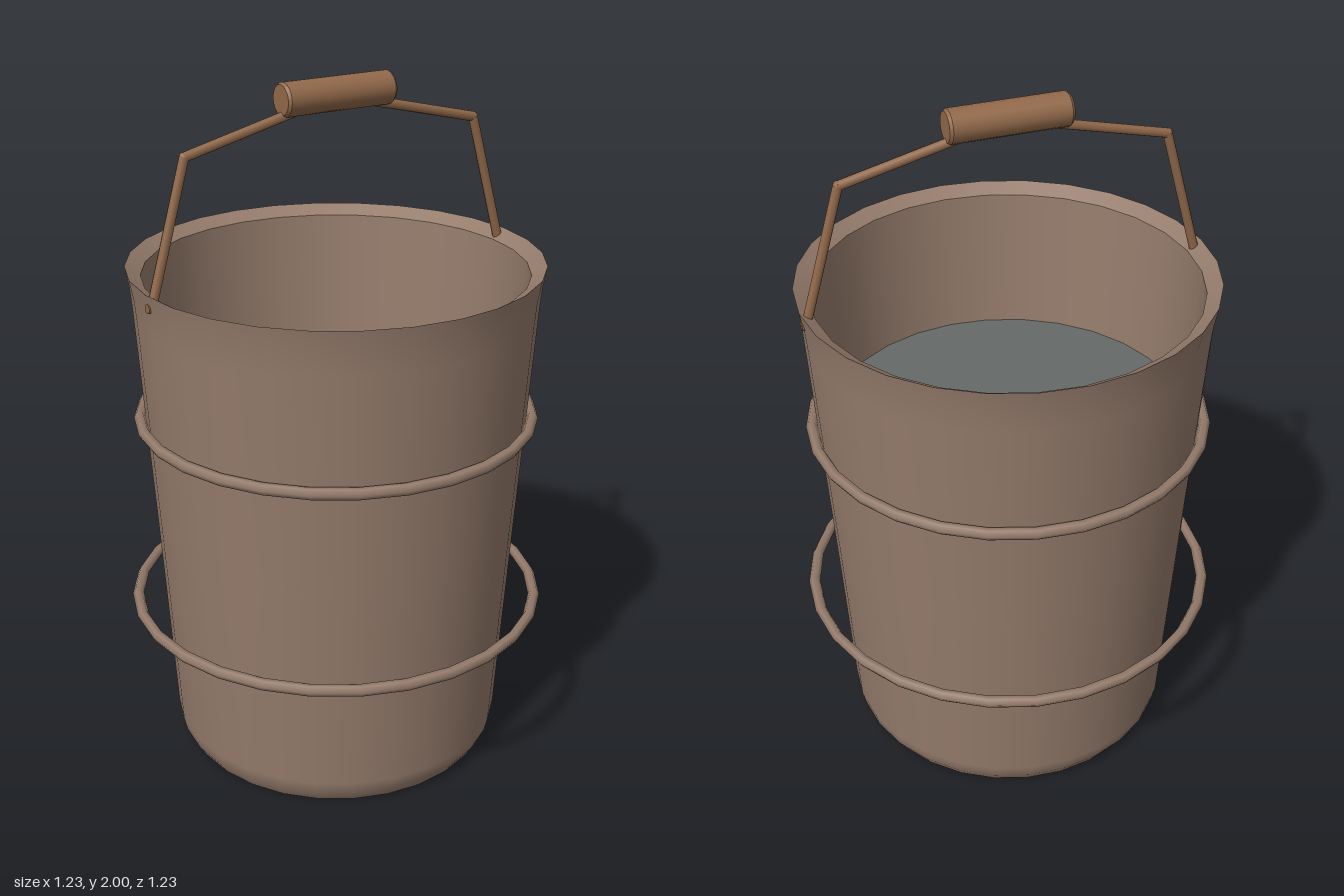
import * as THREE from 'three';

const SIDES = 28;

export function createModel() {
  const model = new THREE.Group();
  model.name = 'bucket';

  const paint = (name, color, options = {}) => {
    const m = new THREE.MeshStandardMaterial({ color, ...options });
    m.name = name;
    return m;
  };
  const staveBrown = paint('staveBrown', 0x957c6c);
  const handleWood = paint('handleWood', 0x92694a);
  const waterGrey = paint('waterGrey', 0x656b68);

  const add = (name, geometry, material, parent = model) => {
    const mesh = new THREE.Mesh(geometry, material);
    mesh.name = name;
    parent.add(mesh);
    return mesh;
  };
  const lathe = (points, sides = SIDES) =>
    new THREE.LatheGeometry(points.map(([r, y]) => new THREE.Vector2(r, y)), sides);

  // Tapered body: outside wall, inward-sloping rim, inside wall, underside
  add('outerWall', lathe([
    [0.46, 0], [0.482, 0.035], [0.491, 0.075], [0.53, 0.72],
    [0.571, 1.36], [0.577, 1.43], [0.588, 1.49],
  ]), staveBrown);
  add('rim', lathe([[0.588, 1.49], [0.545, 1.463]]), staveBrown);
  add('innerWall', lathe([[0.545, 1.463], [0.515, 1.02]]), staveBrown);
  add('base', lathe([[0, 0], [0.46, 0]]), staveBrown);

  // Water surface
  add('water', lathe([[0.516, 1.04], [0, 1.04]]), waterGrey);

  // Two hoops, the lower one standing loose of the wall
  for (const [name, radius, y] of [['upperHoop', 0.567, 1.036], ['lowerHoop', 0.599, 0.46]]) {
    const hoop = add(name, new THREE.TorusGeometry(radius, 0.017, 6, SIDES), staveBrown);
    hoop.rotation.x = Math.PI / 2;
    hoop.position.y = y;
  }

  // Bail: straight rods joined end to end, passing through the grip
  const handle = new THREE.Group();
  handle.name = 'handle';
  model.add(handle);
  const up = new THREE.Vector3(0, 1, 0);
  const rod = (name, a, b) => {
    const from = new THREE.Vector3(...a), to = new THREE.Vector3(...b);
    const dir = to.clone().sub(from);
    const mesh = add(name, new THREE.CylinderGeometry(0.014, 0.014, dir.length(), 8), handleWood, handle);
    mesh.position.copy(from).add(to).multiplyScalar(0.5);
    mesh.quaternion.setFromUnitVectors(up, dir.normalize());
  };
  for (const [label, s] of [['left', 1], ['right', -1]]) {
    rod(label + 'Upright', [s * 0.572, 1.445, 0], [s * 0.46, 1.838, 0]);
    rod(label + 'Arm', [s * 0.46, 1.838, 0], [s * 0.06, 1.934, 0]);
    const elbow = add(label + 'Elbow', new THREE.SphereGeometry(0.014, 8, 6), handleWood, handle);
    elbow.position.set(s * 0.46, 1.838, 0);
    rod(label + 'Peg', [s * 0.55, 1.45, 0], [s * 0.584, 1.45, 0]);
  }

  // Grip: cylinder with softened ends
  const grip = new THREE.Group();
  grip.name = 'grip';
  grip.position.y = 1.953;
  grip.rotation.z = -Math.PI / 2;
  handle.add(grip);
  add('gripBarrel', lathe([[0.047, -0.163], [0.047, 0.163]], 16), handleWood, grip);
  for (const s of [-1, 1]) {
    const edge = [[0.047, s * 0.163], [0.041, s * 0.171]];
    const cap = [[0.041, s * 0.171], [0, s * 0.171]];
    for (const profile of [edge, cap]) {
      add('gripEnd', lathe(s > 0 ? profile : profile.reverse(), 16), handleWood, grip);
    }
  }

  return model;
}
